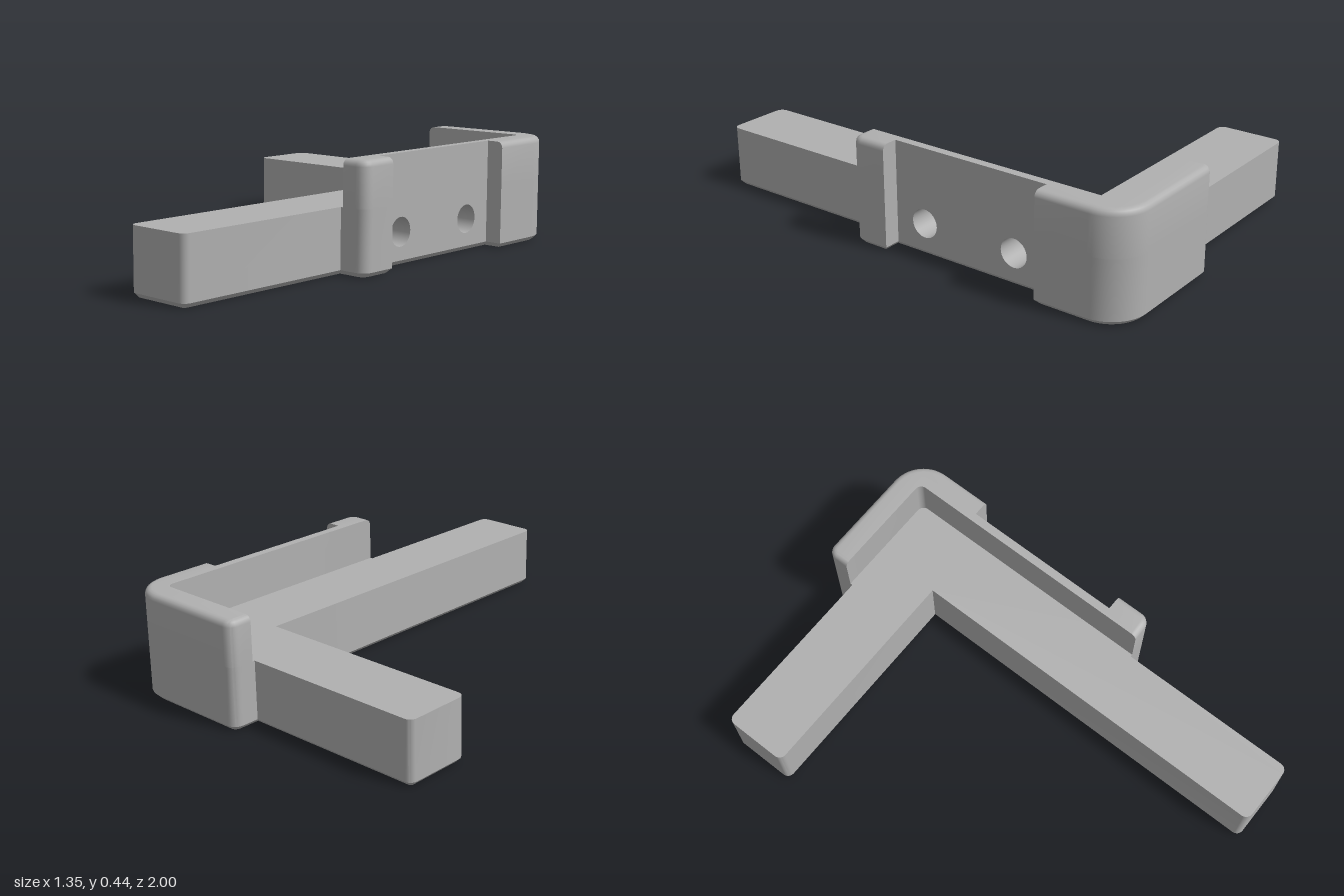
import * as THREE from 'three';
import { toCreasedNormals } from 'three/addons/utils/BufferGeometryUtils.js';

const ARM_TOP = 0.255, WALL_TOP = 0.435, CHAMFER = 0.018, ROUND = 0.025;
const PAD_X = 0.605, PAD_START = -0.06, PAD_END = 0.63; // recessed side face (second axis is -z)

// Right-angled outline from corners [x, -z, radius, bevel weight of the next edge]
function outline(corners) {
  const points = [], weights = [];
  corners.forEach(([x, s, r = 0, w = 1], i) => {
    const p = new THREE.Vector2(x, s);
    const toward = (c) => new THREE.Vector2(c[0], c[1]).sub(p).normalize();
    const u = toward(corners.at(i - 1)), v = toward(corners[(i + 1) % corners.length]);
    const steps = r ? Math.max(6, Math.round(r * 90)) : 0;
    for (let k = 0; k <= steps; k++) {
      const t = steps ? (k / steps) * Math.PI / 2 : 0;
      points.push(p.clone()
        .addScaledVector(u, r * (1 - Math.sin(t)))
        .addScaledVector(v, r * (1 - Math.cos(t))));
      weights.push(w);
    }
  });
  return { points, weights };
}

// Move every edge inward by its weight times d
function inset({ points, weights }, d) {
  const n = points.length;
  const normal = (i) => {
    const e = points[(i + 1) % n].clone().sub(points[i]).normalize();
    return new THREE.Vector2(-e.y, e.x);
  };
  return points.map((p, i) => {
    const j = (i + n - 1) % n, a = normal(j), b = normal(i);
    const da = weights[j] * d, db = weights[i] * d, det = a.cross(b);
    return new THREE.Vector2(p.x + (da * b.y - db * a.y) / det, p.y + (a.x * db - b.x * da) / det);
  });
}

// Stack inset outlines at layers [y, inset] and close the ends
function loft(shape, layers, bottomCap, skip = () => false) {
  const pos = [];
  const add = (p, y) => pos.push(p.x, y, -p.y);
  const rings = layers.map(([, d]) => inset(shape, d));
  const n = shape.points.length;
  for (let k = 0; k + 1 < layers.length; k++) {
    const y0 = layers[k][0], y1 = layers[k + 1][0];
    for (let i = 0; i < n; i++) {
      const j = (i + 1) % n, lo = rings[k], hi = rings[k + 1];
      if (skip(k, lo[i], lo[j])) continue;
      add(lo[i], y0); add(lo[j], y0); add(hi[j], y1);
      add(lo[i], y0); add(hi[j], y1); add(hi[i], y1);
    }
  }
  const cap = (ring, y, flip) => {
    for (const f of THREE.ShapeUtils.triangulateShape(ring, [])) {
      (flip ? [f[0], f[2], f[1]] : f).forEach((i) => add(ring[i], y));
    }
  };
  cap(rings.at(-1), layers.at(-1)[0], false);
  if (bottomCap) cap(rings[0], layers[0][0], true);
  const g = new THREE.BufferGeometry();
  g.setAttribute('position', new THREE.Float32BufferAttribute(pos, 3));
  return toCreasedNormals(g, 0.5);
}

export function createModel() {
  const model = new THREE.Group();
  model.name = 'cornerBracket';
  const grey = new THREE.MeshStandardMaterial({ color: 0xb0b0b0, side: THREE.DoubleSide });
  grey.name = 'grey';
  const part = (name, geometry) => {
    const m = new THREE.Mesh(geometry, grey);
    m.name = name;
    model.add(m);
    return m;
  };

  // Both arms joined with the lower half of the corner wall
  const base = outline([
    [-0.675, 0.61, 0.03], [0.285, 0.61], [0.285, -1, 0.03], [0.56, -1, 0.03], [0.56, -0.22],
    [0.675, -0.22, 0.045], [0.675, PAD_START], [PAD_X, PAD_START], [PAD_X, PAD_END], [0.675, PAD_END],
    [0.675, 1, 0.15], [0.095, 1, 0.04], [0.095, 0.89], [-0.675, 0.89, 0.03],
  ]);
  const isPad = (k, a, b) => k === 1 && Math.abs(a.x - PAD_X) < 1e-4 && Math.abs(b.x - PAD_X) < 1e-4;
  part('arms', loft(base, [[0, CHAMFER], [CHAMFER, 0], [ARM_TOP, 0]], true, isPad));

  // Upper wall, rounded along its outer top edge
  const wall = outline([
    [0.57, -0.22], [0.675, -0.22, 0.045], [0.675, PAD_START, 0, 0], [PAD_X, PAD_START, 0, 0],
    [PAD_X, PAD_END, 0, 0], [0.675, PAD_END], [0.675, 1, 0.15], [0.095, 1, 0.04],
    [0.095, 0.9, 0, 0], [0.57, 0.9, 0.03, 0],
  ]);
  const wallLayers = [[ARM_TOP, 0]];
  for (let k = 0; k <= 4; k++) {
    const t = (k / 4) * Math.PI / 2;
    wallLayers.push([WALL_TOP - ROUND * (1 - Math.sin(t)), ROUND * (1 - Math.cos(t))]);
  }
  part('cornerWall', loft(wall, wallLayers, false));

  // Recessed side face with two blind screw holes
  const face = new THREE.Shape([
    new THREE.Vector2(PAD_START, CHAMFER), new THREE.Vector2(PAD_END, CHAMFER),
    new THREE.Vector2(PAD_END, ARM_TOP), new THREE.Vector2(PAD_START, ARM_TOP),
  ]);
  const holeY = 0.13, radius = 0.058, depth = 0.2;
  for (const s of [0.075, 0.49]) {
    face.holes.push(new THREE.Path().absarc(s, holeY, radius, 0, Math.PI * 2, true));
    part('holeSide', new THREE.CylinderGeometry(radius, radius, depth, 32, 1, true).rotateZ(Math.PI / 2))
      .position.set(PAD_X - depth / 2, holeY, -s);
    part('holeEnd', new THREE.CircleGeometry(radius, 32).rotateY(Math.PI / 2))
      .position.set(PAD_X - depth, holeY, -s);
  }
  part('recessedFace', new THREE.ShapeGeometry(face, 16).rotateY(Math.PI / 2)).position.x = PAD_X;

  return model;
}
